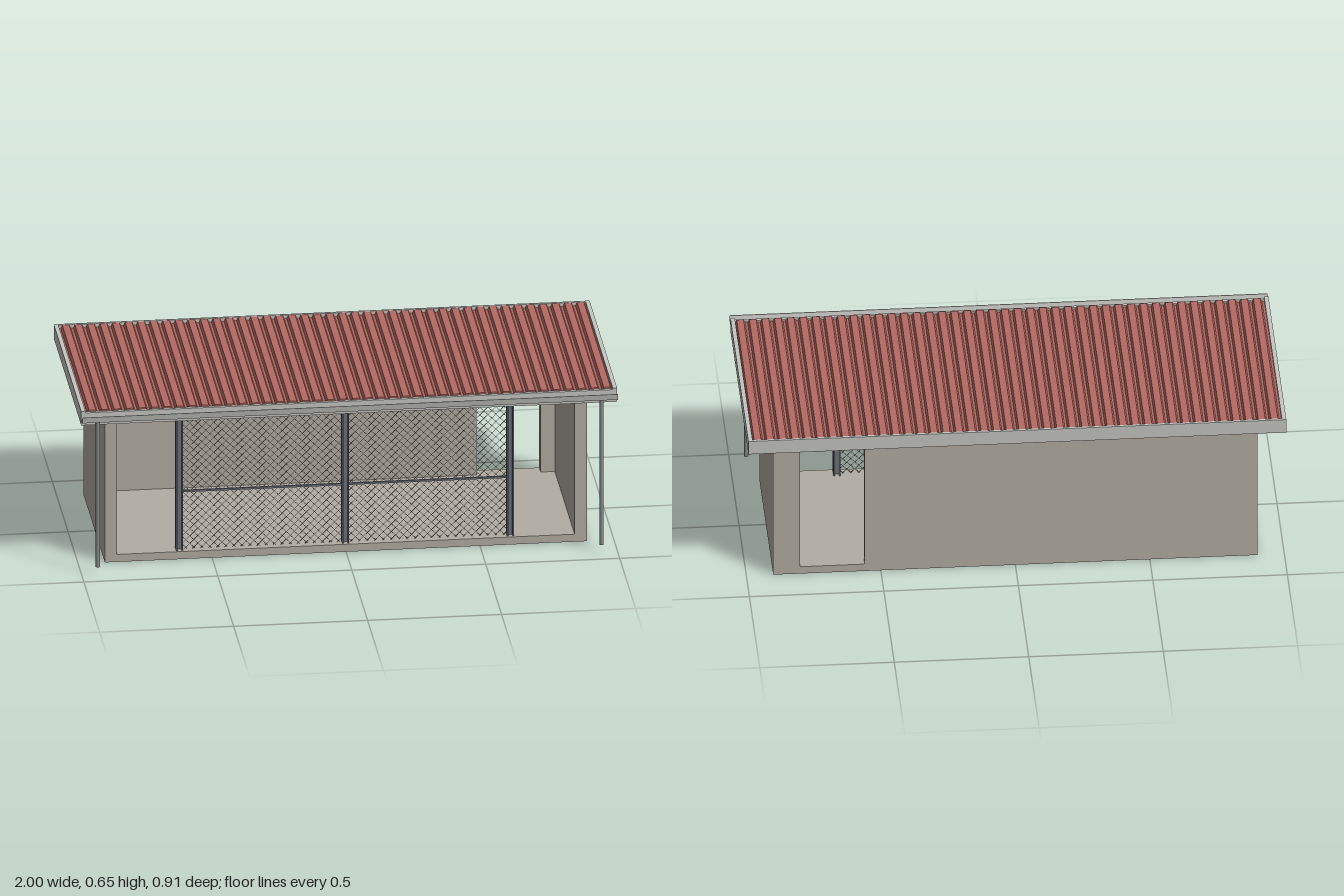
import * as THREE from 'three';
import { mergeGeometries } from 'three/addons/utils/BufferGeometryUtils.js';

const material = (name, color, extra = {}) => {
  const m = new THREE.MeshStandardMaterial({ color, ...extra });
  m.name = name;
  return m;
};

// box geometry given by its minimum and maximum on each axis
const span = (x0, x1, y0, y1, z0, z1) =>
  new THREE.BoxGeometry(x1 - x0, y1 - y0, z1 - z0)
    .translate((x0 + x1) / 2, (y0 + y1) / 2, (z0 + z1) / 2);

export function createModel() {
  const model = new THREE.Group();
  model.name = 'shelter';
  const render = material('wallRender', 0xb3ada3);
  const trim = material('trimGrey', 0xc6c7c2);
  const red = material('roofRed', 0xb56a64, { side: THREE.DoubleSide });
  const steel = material('steelGrey', 0x6c7279);
  const pipe = material('pipeGrey', 0x8b8d8d);
  const wire = material('wireGrey', 0x85827c);

  const add = (name, mat, ...geos) => {
    const mesh = new THREE.Mesh(geos.length > 1 ? mergeGeometries(geos) : geos[0], mat);
    mesh.name = name;
    model.add(mesh);
    return mesh;
  };

  // floor slab, side walls and back wall with a doorway
  add('floorSlab', render, span(-0.9, 0.9, 0, 0.03, -0.353, 0.317));
  add('rightWall', render, span(-0.9, -0.855, 0.03, 0.6, -0.353, 0.317));
  add('leftWall', render, span(0.853, 0.9, 0.03, 0.6, -0.353, 0.317));
  add('backWall', render,
    span(-0.855, 0.56, 0.03, 0.6, -0.353, -0.308),
    span(0.8, 0.853, 0.03, 0.6, -0.353, -0.308),
    span(0.56, 0.8, 0.575, 0.6, -0.353, -0.308));
  add('ceiling', render, span(-0.912, 0.912, 0.598, 0.62, -0.365, 0.329));
  add('switchBox', trim, span(-0.855, -0.84, 0.42, 0.495, 0.1, 0.15));

  // roof deck and fascia boards
  add('soffit', trim, span(-0.985, 0.985, 0.618, 0.63, -0.44, 0.4));
  for (const s of [-1, 1])
    add('sideFascia', trim, span(-0.008, 0.008, 0.592, 0.648, -0.453, 0.415).translate(s * 0.992, 0, 0));
  add('backFascia', trim, span(-0.984, 0.984, 0.592, 0.648, -0.453, -0.443));
  add('frontFascia', trim, span(-0.984, 0.984, 0.592, 0.641, 0.403, 0.415));

  // ribbed roof sheet
  const ribs = 42, pitch = 1.968 / ribs;
  const sheet = new THREE.Shape();
  sheet.moveTo(-0.984, 0.628);
  for (let i = 0; i < ribs; i++) {
    const x = -0.984 + i * pitch;
    for (const [t, y] of [[0, 0.634], [0.18, 0.634], [0.32, 0.647], [0.86, 0.647], [1, 0.634]])
      sheet.lineTo(x + t * pitch, y);
  }
  sheet.lineTo(0.984, 0.628);
  add('roofSheet', red,
    new THREE.ExtrudeGeometry(sheet, { depth: 0.846, bevelEnabled: false }).translate(0, 0, -0.443));

  // front gutter: profile in z and y, extruded along x
  const profile = new THREE.Shape([
    [0.415, 0.613], [0.448, 0.613], [0.453, 0.637], [0.45, 0.637], [0.445, 0.616], [0.415, 0.616],
  ].map(([z, y]) => new THREE.Vector2(-z, y)));
  add('gutter', trim,
    new THREE.ExtrudeGeometry(profile, { depth: 2, bevelEnabled: false })
      .rotateY(Math.PI / 2).translate(-1, 0, 0));

  // downpipes at both ends of the gutter
  for (const s of [-1, 1])
    add('downpipe', pipe,
      new THREE.CylinderGeometry(0.008, 0.008, 0.582, 12).translate(s * 0.94, 0.323, 0.434));

  // header beam and H-section posts
  add('headerBeam', steel, span(-0.855, 0.853, 0.578, 0.598, 0.27, 0.31));
  for (const x of [-0.62, 0, 0.615])
    add('post', steel,
      span(x - 0.013, x - 0.008, 0.03, 0.578, 0.27, 0.308),
      span(x + 0.008, x + 0.013, 0.03, 0.578, 0.27, 0.308),
      span(x - 0.008, x + 0.008, 0.03, 0.578, 0.286, 0.292));

  // diamond wire mesh and middle rail in each bay
  const z = 0.289, bottom = 0.03, top = 0.578, step = 0.03, h = top - bottom;
  for (const [x0, x1] of [[-0.607, -0.013], [0.013, 0.602]]) {
    const wires = [], w = x1 - x0;
    for (let c = -h + step / 2; c < w; c += step) {
      const a = Math.max(0, c), b = Math.min(w, c + h);
      if (b - a < 0.004) continue;
      for (const s of [-1, 1]) {
        const mid = (a + b) / 2;
        wires.push(new THREE.BoxGeometry((b - a) * Math.SQRT2, 0.0014, 0.0014)
          .rotateZ(s * Math.PI / 4)
          .translate(s > 0 ? x0 + mid : x1 - mid, bottom + mid - c, z + s * 0.0007));
      }
    }
    // the falling wires mirror the rising ones
    add('wireMesh', wire, ...wires);
    add('meshRail', steel, span(x0, x1, 0.257, 0.264, z - 0.004, z + 0.004));
  }
  return model;
}
